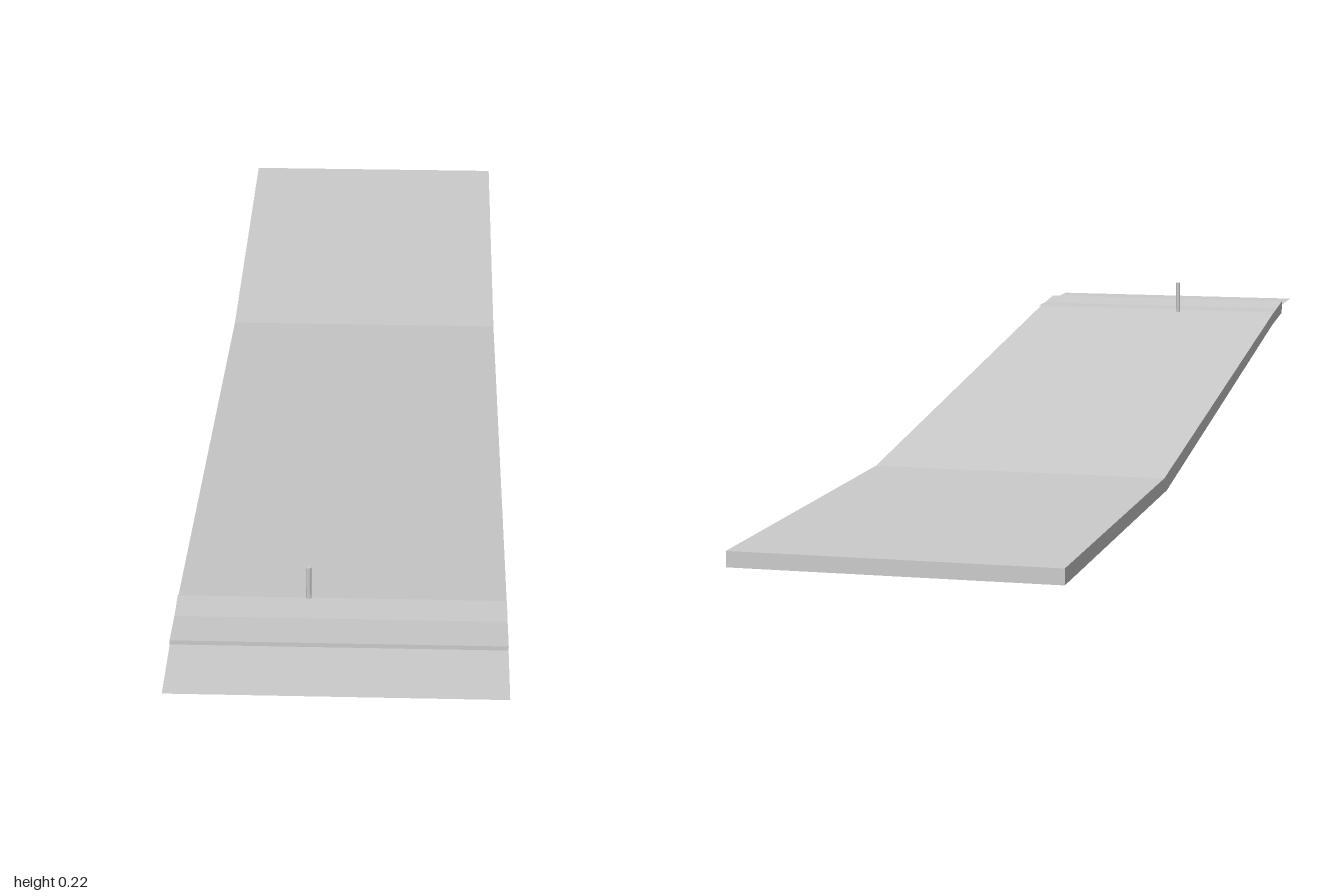
import * as THREE from 'three';

const WIDTH = 0.477;

export function createModel() {
  const model = new THREE.Group();
  const grey = new THREE.MeshStandardMaterial({ color: 0xcccccc, flatShading: true });
  const add = (name, geometry, material = grey) => {
    const mesh = new THREE.Mesh(geometry, material);
    mesh.name = name;
    model.add(mesh);
    return mesh;
  };

  // Bent slab: side profile as (z, y), extruded across the width
  const profile = new THREE.Shape([
    [-1, 0], [-0.305, 0], [0.765, 0.136], [0.885, 0.146],
    [0.885, 0.169], [0.765, 0.157], [-0.325, 0.023], [-1, 0.023],
  ].map(([z, y]) => new THREE.Vector2(z, y)));
  const slab = new THREE.ExtrudeGeometry(profile, { depth: WIDTH, bevelEnabled: false });
  slab.translate(0, 0, -WIDTH / 2).rotateY(-Math.PI / 2);
  add('rampSlab', slab);

  // Paper-thin level sheet overhanging the raised end
  const sheetMaterial = new THREE.MeshStandardMaterial({
    color: 0xcccccc, flatShading: true, side: THREE.DoubleSide,
  });
  const sheet = new THREE.PlaneGeometry(WIDTH, 0.237).rotateX(-Math.PI / 2);
  add('frontSheet', sheet, sheetMaterial).position.set(0, 0.162, 0.8815);

  // Small upright pin
  const pin = new THREE.CylinderGeometry(0.004, 0.004, 0.058, 8);
  add('pin', pin).position.set(-0.048, 0.186, 0.763);

  return model;
}
